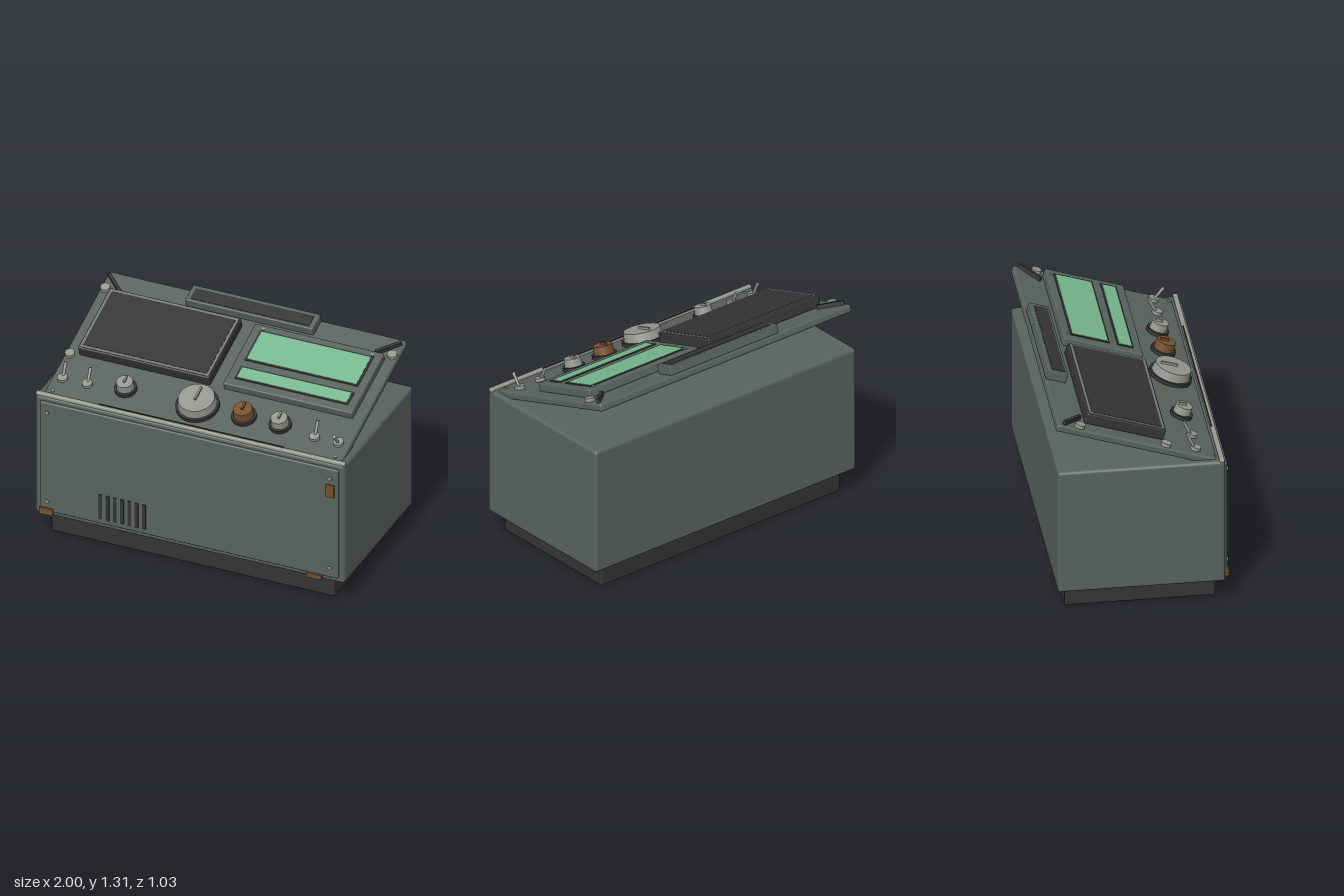
import * as THREE from 'three';
import { RoundedBoxGeometry } from 'three/addons/geometries/RoundedBoxGeometry.js';

export function createModel() {
  const model = new THREE.Group();
  model.name = 'console';
  const paint = (name, color) => {
    const m = new THREE.MeshStandardMaterial({ color });
    m.name = name;
    return m;
  };
  const casing = paint('grey green casing', 0x59625e);
  const black = paint('black plastic', 0x343434);
  const metal = paint('light metal', 0x94968f);
  const bezelGrey = paint('bezel grey', 0x74787a);
  const brown = paint('brown', 0x75502f);
  const green = paint('display green', 0x76b78e);

  const add = (parent, name, geometry, material, x, y, z) => {
    const mesh = new THREE.Mesh(geometry, material);
    mesh.name = name;
    mesh.position.set(x, y, z);
    parent.add(mesh);
    return mesh;
  };
  const box = (parent, name, mat, w, h, d, x, y, z) =>
    add(parent, name, new THREE.BoxGeometry(w, h, d), mat, x, y, z);
  const rounded = (parent, name, mat, w, h, d, r, x, y, z) =>
    add(parent, name, new RoundedBoxGeometry(w, h, d, 3, r), mat, x, y, z);
  const disc = (parent, name, mat, r, h, x, y, z, top = r) =>
    add(parent, name, new THREE.CylinderGeometry(top, r, h, 28), mat, x, y, z);

  // Plinth, cabinet and front door
  rounded(model, 'plinth', black, 1.83, 0.15, 0.9, 0.008, 0, 0.075, -0.01);
  rounded(model, 'cabinet', casing, 2, 0.815, 1, 0.02, 0, 0.5425, -0.01);
  rounded(model, 'frontDoor', casing, 1.93, 0.75, 0.03, 0.008, 0, 0.545, 0.49);
  rounded(model, 'topTrim', metal, 2, 0.024, 0.03, 0.008, 0, 0.954, 0.47);
  box(model, 'deckSeal', black, 1.2, 0.014, 0.008, 0, 0.964, 0.462);

  // Door vents, screws and clips
  for (let i = 0; i < 7; i++)
    box(model, 'ventSlot', black, 0.022, 0.17, 0.008, -0.57 + i * 0.047, 0.288, 0.507);
  for (const x of [-0.915, 0.915])
    for (const y of [0.24, 0.855])
      disc(model, 'doorScrew', metal, 0.012, 0.012, x, y, 0.508).rotation.x = Math.PI / 2;
  box(model, 'sideClip', brown, 0.055, 0.085, 0.016, 0.915, 0.77, 0.505);
  box(model, 'bottomClip', brown, 0.085, 0.045, 0.03, -0.92, 0.172, 0.5);
  box(model, 'bottomClip', brown, 0.095, 0.03, 0.03, 0.813, 0.157, 0.5);

  // Sloping deck: its own y = 0 is the top surface
  const deck = new THREE.Group();
  deck.name = 'deck';
  deck.position.y = 1.096;
  deck.rotation.x = THREE.MathUtils.degToRad(18);
  model.add(deck);
  rounded(deck, 'deckPlate', casing, 1.925, 0.048, 1, 0.014, 0, -0.024, -0.03);

  // Screen
  rounded(deck, 'screenHousing', black, 0.85, 0.07, 0.495, 0.01, -0.45, 0.035, -0.107);
  box(deck, 'screenBezel', bezelGrey, 0.835, 0.006, 0.475, -0.45, 0.07, -0.107);
  box(deck, 'screenGlass', black, 0.8, 0.008, 0.44, -0.45, 0.071, -0.107);

  // Twin displays
  rounded(deck, 'displayHousing', casing, 0.835, 0.054, 0.495, 0.008, 0.48, 0.027, -0.107);
  for (const [z, d] of [[-0.187, 0.222], [0.035, 0.08]]) {
    box(deck, 'displayFrame', black, 0.735, 0.008, d + 0.022, 0.482, 0.054, z);
    box(deck, 'displayFace', green, 0.708, 0.008, d, 0.482, 0.056, z);
  }
  for (const x of [0.13, 0.835]) disc(deck, 'displayScrew', metal, 0.01, 0.01, x, 0.055, -0.322);

  // Indicator bar at the back
  rounded(deck, 'indicatorHousing', casing, 0.825, 0.058, 0.125, 0.006, 0, 0.029, -0.465);
  box(deck, 'indicatorFace', black, 0.765, 0.008, 0.083, 0, 0.057, -0.46);

  // Rotary knobs
  for (const [x, r, h, mat] of [
    [-0.5, 0.054, 0.07, metal],
    [-0.035, 0.118, 0.075, metal],
    [0.265, 0.062, 0.075, brown],
    [0.5, 0.054, 0.07, metal],
  ]) {
    const knob = new THREE.Group();
    knob.name = 'knob';
    knob.position.set(x, 0, 0.308);
    deck.add(knob);
    disc(knob, 'knobBase', black, r + 0.014, 0.022, 0, 0.011, 0);
    disc(knob, 'knobCap', mat, r, h - 0.02, 0, h / 2 + 0.01, 0, r * 0.93);
    box(knob, 'knobPointer', mat, 0.012, 0.016, r * 0.85, 0, h + 0.006, -r * 0.25);
  }

  // Toggle switches, leaning alternately
  [-0.895, -0.735, 0.735, 0.89].forEach((x, i) => {
    const toggle = new THREE.Group();
    toggle.name = 'toggleSwitch';
    toggle.position.set(x, 0, 0.34);
    deck.add(toggle);
    disc(toggle, 'toggleCollar', metal, 0.031, 0.02, 0, 0.01, 0);
    const lever = new THREE.Group();
    lever.name = 'toggleLever';
    lever.rotation.x = i === 3 ? 0.35 : -0.75;
    toggle.add(lever);
    disc(lever, 'leverRod', metal, 0.008, 0.1, 0, 0.055, 0, 0.01);
  });

  // Corner fasteners and diagonal handles
  for (const [x, z] of [[-0.928, -0.39], [0.928, -0.39], [-0.928, 0.15]])
    disc(deck, 'cornerFastener', metal, 0.03, 0.022, x, 0.011, z);
  for (const s of [-1, 1]) {
    box(deck, 'cornerHandle', black, 0.165, 0.026, 0.02, s * 0.885, 0.013, -0.435).rotation.y = s * 0.76;
    disc(deck, 'deckScrew', metal, 0.011, 0.01, s * 0.915, 0.003, 0.445);
  }

  return model;
}
